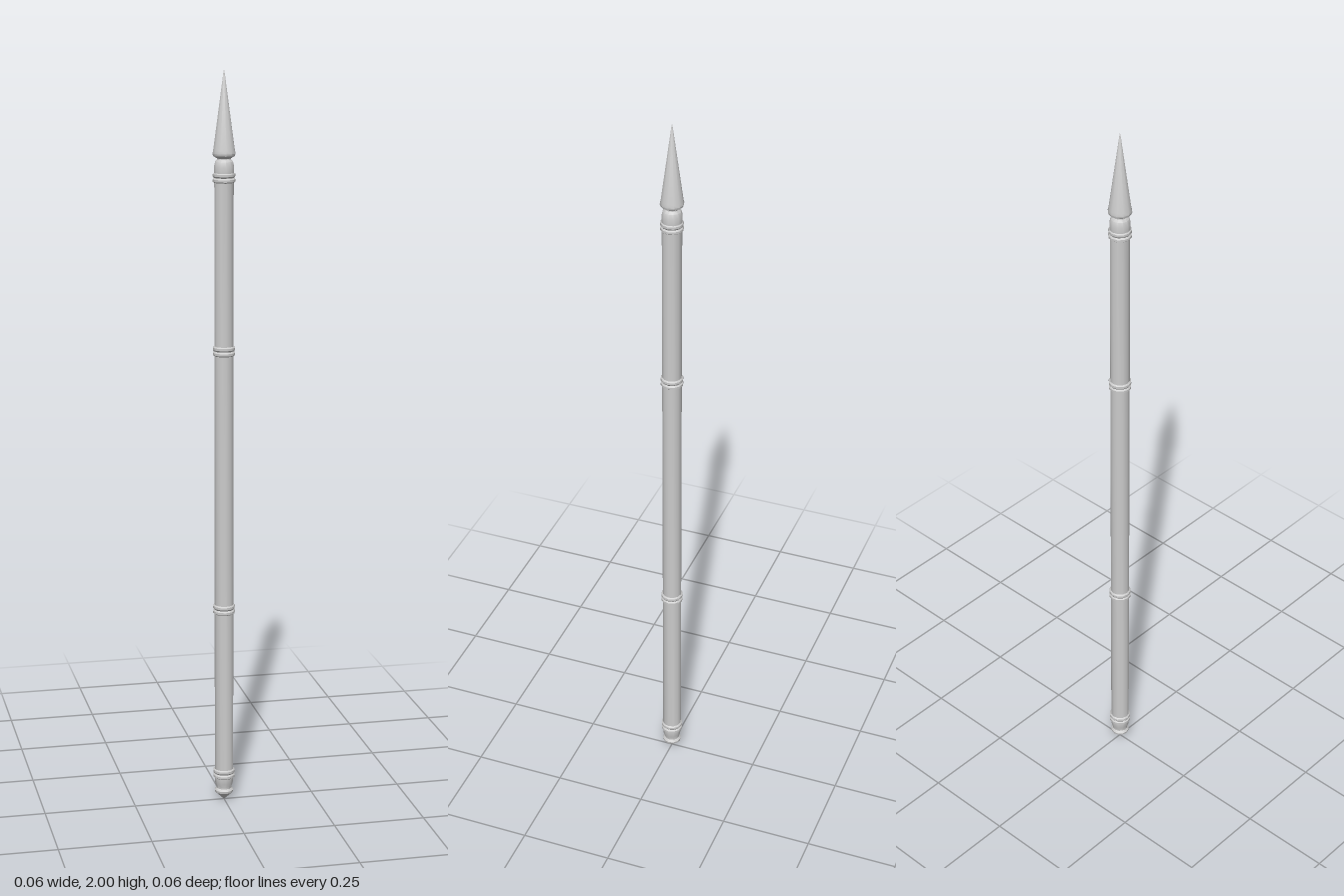
import * as THREE from 'three';
import { toCreasedNormals } from 'three/addons/utils/BufferGeometryUtils.js';

const SIDES = 12;
const material = new THREE.MeshStandardMaterial({ color: 0xcccccc });

// Turned part from [radius, height] pairs, listed bottom to top
function turned(name, profile) {
  const points = profile.map(([r, y]) => new THREE.Vector2(r, y));
  const geometry = toCreasedNormals(new THREE.LatheGeometry(points, SIDES), 0.6);
  const mesh = new THREE.Mesh(geometry, material);
  mesh.name = name;
  return mesh;
}

export function createModel() {
  const group = new THREE.Group();
  group.name = 'spear';

  // Long round pole
  group.add(turned('shaft', [[0.026, 0.078], [0.026, 1.722]]));

  // Raised double bands around the pole
  [0.078, 0.551, 1.264, 1.722].forEach((y, i) => {
    const band = turned('band' + (i + 1), [
      [0.026, -0.013], [0.03, -0.01], [0.03, -0.004], [0.027, 0],
      [0.03, 0.004], [0.03, 0.01], [0.026, 0.013],
    ]);
    band.position.y = y;
    group.add(band);
  });

  // Butt: pointed knob below a short tapered collar
  group.add(turned('buttCap', [
    [0, 0], [0.008, 0.007], [0.025, 0.023], [0.026, 0.029], [0.021, 0.035],
    [0.021, 0.039], [0.025, 0.05], [0.026, 0.065], [0.026, 0.078],
  ]));

  // Collar and narrow neck below the head
  group.add(turned('neck', [
    [0.026, 1.722], [0.027, 1.735], [0.027, 1.75], [0.024, 1.764],
    [0.018, 1.77], [0.018, 1.778],
  ]));

  // Conical head with a rolled lower lip and a slightly blunted point
  group.add(turned('spearhead', [
    [0, 1.772], [0.018, 1.772], [0.029, 1.779], [0.031, 1.785],
    [0.029, 1.793], [0.001, 1.998], [0, 2],
  ]));

  return group;
}
